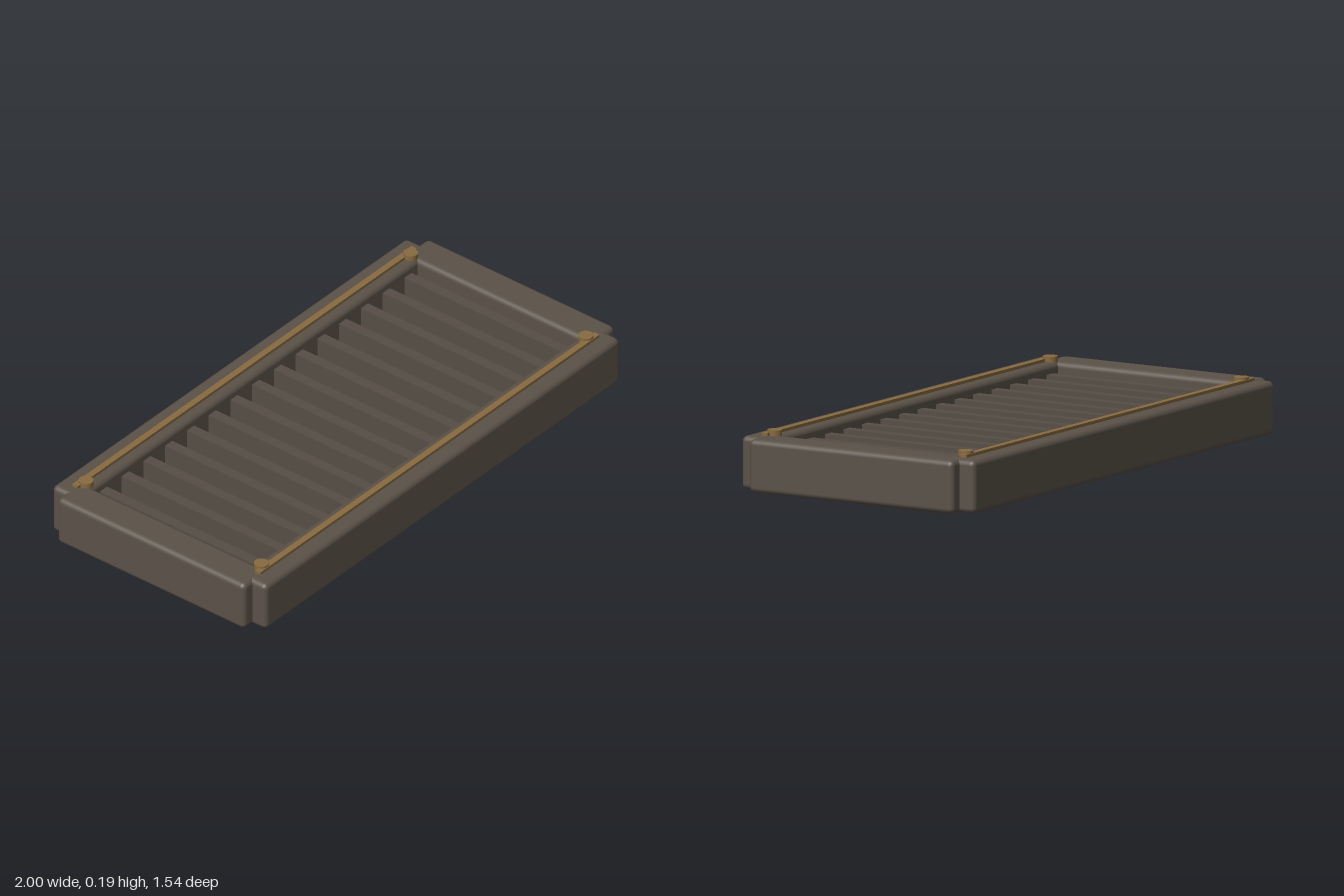
import * as THREE from 'three';
import { RoundedBoxGeometry } from 'three/addons/geometries/RoundedBoxGeometry.js';

export function createModel() {
  const model = new THREE.Group();
  model.name = 'slattedGrate';

  const frameMat = new THREE.MeshStandardMaterial({ name: 'dark weathered wood', color: 0x5b5248 });
  const slatMat = new THREE.MeshStandardMaterial({ name: 'slat wood', color: 0x574e45 });
  const brassMat = new THREE.MeshStandardMaterial({ name: 'dull brass', color: 0x876a40 });

  const add = (name, geometry, material, x, y, z) => {
    const mesh = new THREE.Mesh(geometry, material);
    mesh.name = name;
    mesh.position.set(x, y, z);
    model.add(mesh);
  };

  // Frame: long rails at front and back, end rails lapped over their ends
  const height = 0.172;
  const longRail = new RoundedBoxGeometry(1.778, height, 0.11, 3, 0.018);
  const endRail = new RoundedBoxGeometry(0.12, height, 0.77, 3, 0.018);
  // Brass inlay strips and the studs at their ends
  const strip = new THREE.BoxGeometry(1.7, 0.02, 0.022);
  const stud = new THREE.CylinderGeometry(0.024, 0.024, 0.03, 20);

  for (const s of [-1, 1]) {
    const side = s > 0 ? 'front' : 'back';
    add(side + 'Rail', longRail, frameMat, 0, height / 2, s * 0.385);
    add(s > 0 ? 'leftEndRail' : 'rightEndRail', endRail, frameMat, s * 0.871, height / 2, 0);
    add(side + 'Strip', strip, brassMat, 0, 0.172, s * 0.375);
    for (const e of [-1, 1]) add(side + 'Stud', stud, brassMat, e * 0.813, 0.174, s * 0.36);
  }

  // Cross slats between the long rails
  const slat = new THREE.BoxGeometry(0.036, 0.09, 0.7);
  const count = 15;
  for (let i = 0; i < count; i++) {
    add('slat', slat, slatMat, -0.763 + (1.526 * i) / (count - 1), 0.095, 0);
  }

  // The whole grate lies turned on the ground
  model.rotation.y = THREE.MathUtils.degToRad(25);
  const root = new THREE.Group();
  root.name = 'grate';
  root.add(model);
  return root;
}
